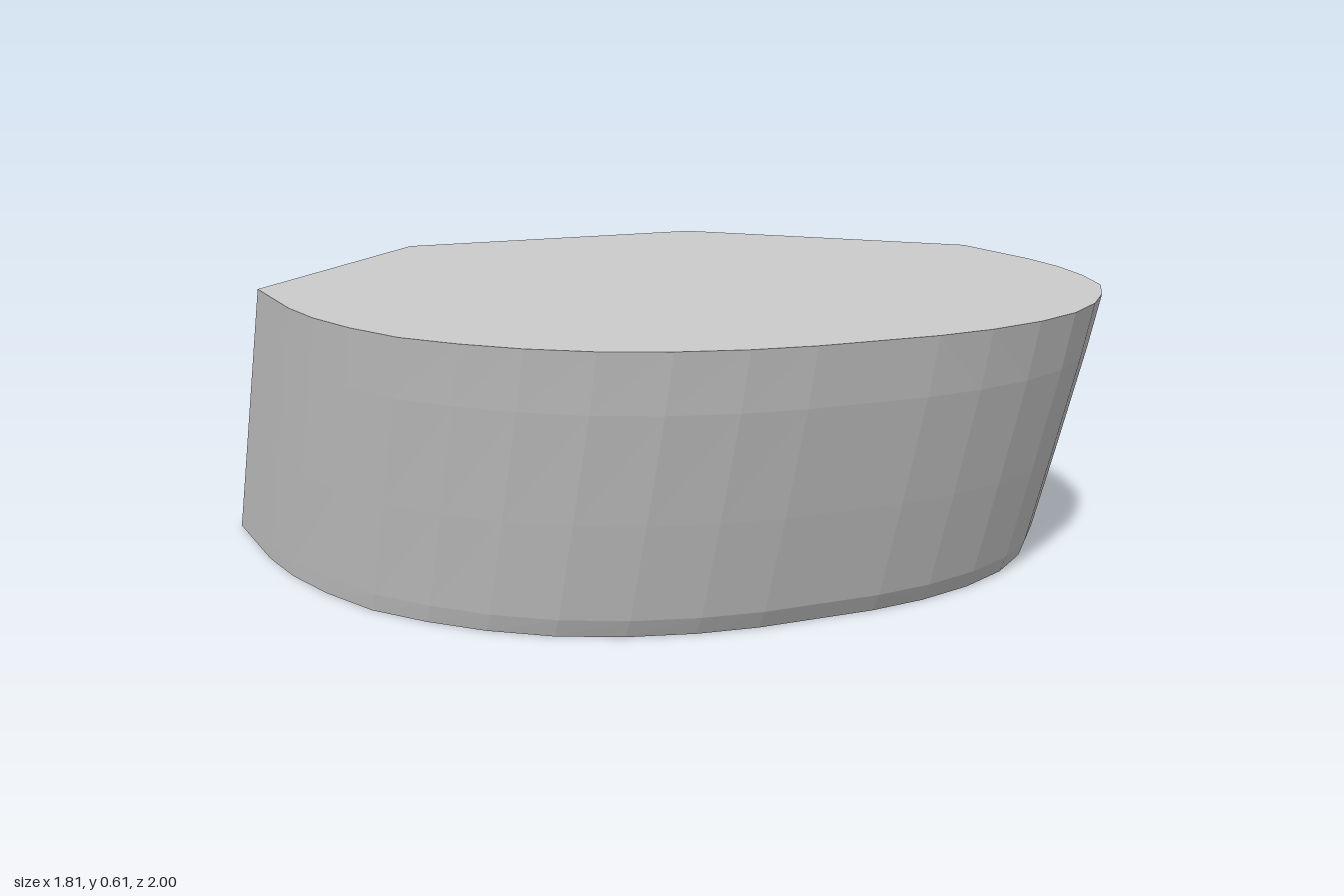
import * as THREE from 'three';

const HEIGHT = 0.605;

// Half outline of the top face, back to front: [x, z]
const HALF = [
  [0.39, -0.66], [0.905, -0.1], [0.905, 0.18], [0.89, 0.32], [0.855, 0.46],
  [0.8, 0.6], [0.72, 0.71], [0.63, 0.805], [0.52, 0.887], [0.395, 0.945],
  [0.26, 0.982], [0.13, 0.998],
];
const OUTLINE = [...HALF, ...HALF.map(([x, z]) => [-x, z]).reverse()];
const N = OUTLINE.length;

// Heights of the wall rings and how far each swells forward
const RINGS = [[0, 0], [0.04, 0.01], [0.25, 0.012], [0.48, 0.01], [HEIGHT, 0]];

// Point i of the outline at height y: the body leans back towards its base
function pointAt(i, y, swell) {
  const [x, z] = OUTLINE[i % N];
  const front = Math.max(0, (z + 0.1) / 1.1);
  const baseZ = z < -0.1 ? -1 : -0.385 + front * 1.165;
  const t = y / HEIGHT;
  return [x, y, baseZ + (z - baseZ) * t + swell * front * front];
}

function flatMesh(name, triangles) {
  const geometry = new THREE.BufferGeometry();
  geometry.setAttribute('position', new THREE.Float32BufferAttribute(triangles.flat(2), 3));
  geometry.computeVertexNormals();
  const mesh = new THREE.Mesh(geometry,
    new THREE.MeshStandardMaterial({ color: 0xcccccc, flatShading: true }));
  mesh.name = name;
  return mesh;
}

// Wall strip between outline points i and i + 1, split mirror-symmetrically
function wallStrip(i, rings) {
  const out = [];
  for (let r = 0; r < rings.length - 1; r++) {
    const b0 = pointAt(i, ...rings[r]), b1 = pointAt(i + 1, ...rings[r]);
    const t0 = pointAt(i, ...rings[r + 1]), t1 = pointAt(i + 1, ...rings[r + 1]);
    if (i < N / 2) out.push([b1, b0, t1], [b0, t0, t1]);
    else out.push([b1, b0, t0], [b1, t0, t1]);
  }
  return out;
}

export function createModel() {
  const group = new THREE.Group();
  group.name = 'slantedBlock';

  // Flat top and bottom faces
  const top = [], bottom = [];
  for (let i = 1; i < N - 1; i++) {
    top.push([0, i + 1, i].map((k) => pointAt(k, HEIGHT, 0)));
    bottom.push([0, i, i + 1].map((k) => pointAt(k, 0, 0)));
  }
  group.add(flatMesh('topFace', top), flatMesh('bottomFace', bottom));

  // Back face and its two angled corner faces
  const ends = [RINGS[0], RINGS[RINGS.length - 1]];
  group.add(flatMesh('backFace', wallStrip(N - 1, ends)));
  group.add(flatMesh('leftCornerFace', wallStrip(0, ends)));
  group.add(flatMesh('rightCornerFace', wallStrip(N - 2, ends)));

  // Rounded front wall
  const wall = [];
  for (let i = 1; i < N - 2; i++) wall.push(...wallStrip(i, RINGS));
  group.add(flatMesh('roundedFrontWall', wall));

  return group;
}
